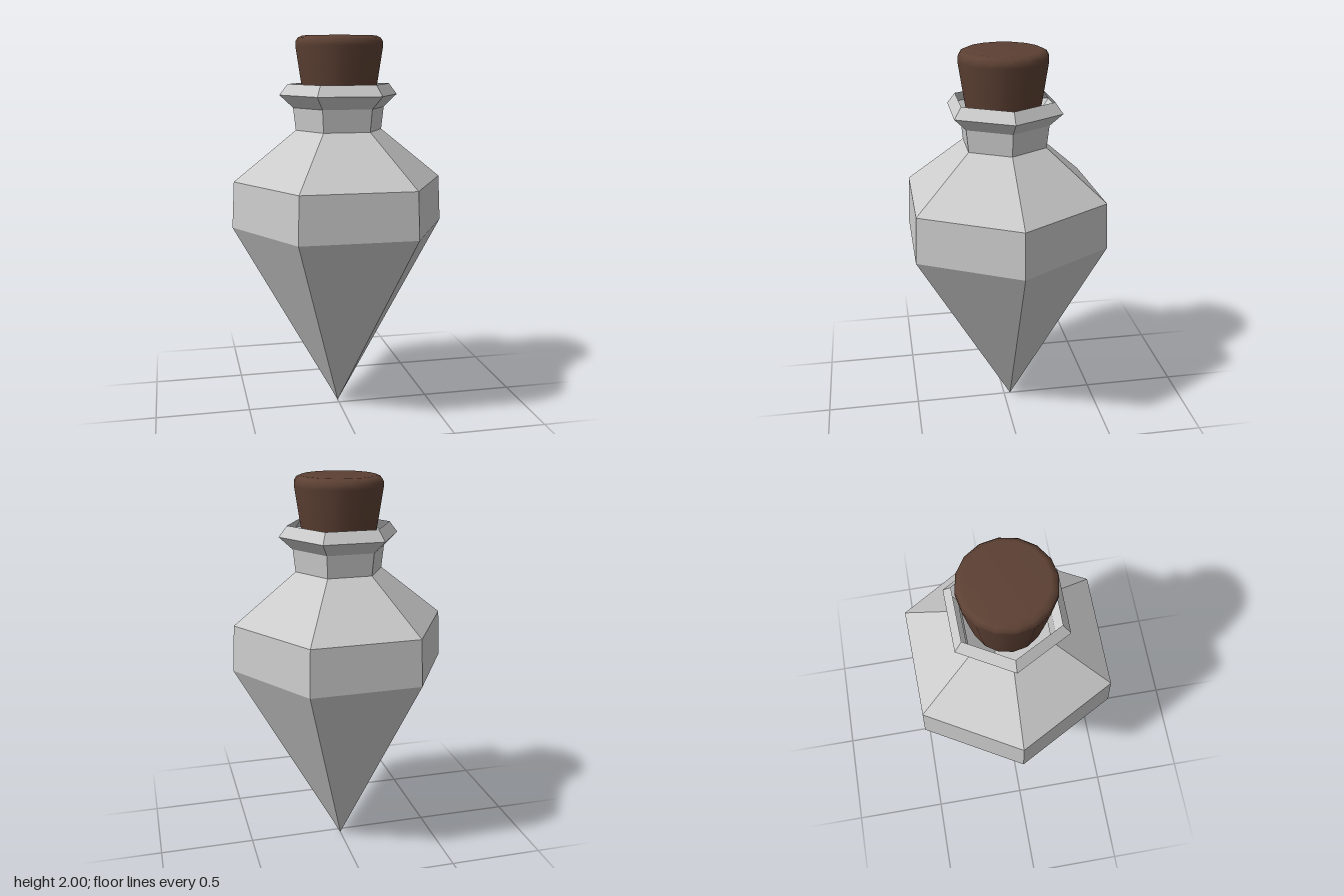
import * as THREE from 'three';

// Slightly uneven hexagon (x, z) shared by every glass ring, counterclockwise from above
const HEX = [[1, -0.015], [0.475, -0.87], [-0.528, -0.843], [-1, -0.015], [-0.525, 0.865], [0.525, 0.865]];

// Glass rings from the shoulder edge up to the open lip: [radius, height]
const RINGS = [[0.565, 1.02], [0.552, 1.26], [0.227, 1.52], [0.24, 1.635], [0.31, 1.7], [0.267, 1.755]];

function loftBottle() {
  const n = HEX.length;
  const positions = [0, 0, -0.035]; // pointed base
  for (const [r, y] of RINGS) {
    for (const [x, z] of HEX) positions.push(x * r, y, z * r);
  }
  const index = [];
  for (let k = 0; k < n; k++) {
    const next = (k + 1) % n;
    index.push(0, 1 + next, 1 + k);
    for (let i = 0; i < RINGS.length - 1; i++) {
      const a = 1 + i * n + k, b = 1 + i * n + next;
      index.push(a, b, b + n, a, b + n, a + n);
    }
  }
  const indexed = new THREE.BufferGeometry();
  indexed.setAttribute('position', new THREE.Float32BufferAttribute(positions, 3));
  indexed.setIndex(index);
  const geometry = indexed.toNonIndexed();
  geometry.computeVertexNormals();
  return geometry;
}

export function createModel() {
  const model = new THREE.Group();
  model.name = 'potionBottle';

  // Thin faceted glass, open at the lip
  const bottle = new THREE.Mesh(
    loftBottle(),
    new THREE.MeshStandardMaterial({ color: 0xcccccc, flatShading: true, side: THREE.DoubleSide })
  );
  bottle.name = 'bottle';
  model.add(bottle);

  // Tapered cork with a softened top rim, reaching down into the neck
  const profile = [
    [0, 1.6], [0.165, 1.6], [0.173, 1.61], [0.198, 1.76], [0.226, 1.945],
    [0.225, 1.967], [0.213, 1.986], [0.19, 1.996], [0, 2],
  ].map(([r, y]) => new THREE.Vector2(r, y));
  const cork = new THREE.Mesh(
    new THREE.LatheGeometry(profile, 16),
    new THREE.MeshStandardMaterial({ color: 0x5c4033 })
  );
  cork.name = 'cork';
  cork.position.z = 0.003;
  model.add(cork);

  return model;
}
